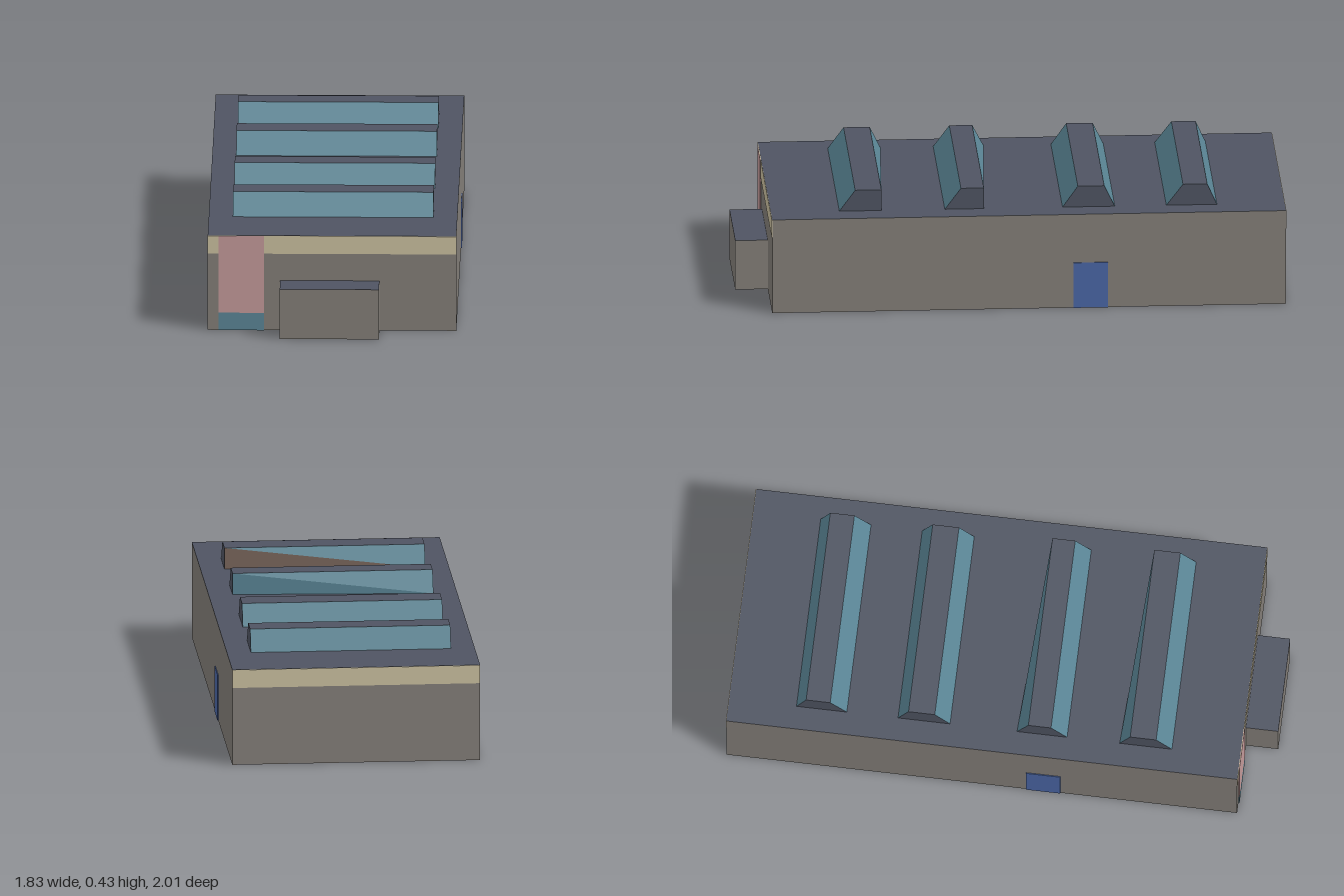
import * as THREE from 'three';

const mat = (name, color, side = THREE.FrontSide) => {
  const m = new THREE.MeshStandardMaterial({ color, side });
  m.name = name;
  return m;
};

export function createModel() {
  const wall = mat('grey wall', 0x837e78);
  const roof = mat('slate roof', 0x4f5462);
  const band = mat('tan band', 0xcabf9f);
  const glass = mat('teal glass', 0x5a8595);
  const doorBlue = mat('blue door', 0x4a66a5);
  const pink = mat('pink panel', 0xc49a9a);
  const brown = mat('brown infill', 0x7a665c);

  const HW = 0.446, HL = 0.923, H = 0.352, TOP = 0.43;
  const model = new THREE.Group();
  model.name = 'warehouse';
  // The whole building stands turned on its plot
  model.rotation.y = -0.655;

  // Box given by its minimum and maximum corners
  function box(name, [x0, y0, z0], [x1, y1, z1], material) {
    const g = new THREE.BoxGeometry(x1 - x0, y1 - y0, z1 - z0);
    const mesh = new THREE.Mesh(g, material);
    mesh.position.set((x0 + x1) / 2, (y0 + y1) / 2, (z0 + z1) / 2);
    mesh.name = name;
    model.add(mesh);
  }

  // Flat faces, each a convex polygon in counter-clockwise order
  function faces(name, polygons, material) {
    const p = [];
    for (const c of polygons)
      for (let i = 1; i < c.length - 1; i++) p.push(...c[0], ...c[i], ...c[i + 1]);
    const g = new THREE.BufferGeometry();
    g.setAttribute('position', new THREE.Float32BufferAttribute(p, 3));
    g.computeVertexNormals();
    const mesh = new THREE.Mesh(g, material);
    mesh.name = name;
    return mesh;
  }

  // Hall and front annex, with slate on top
  const shell = [wall, wall, roof, wall, wall, wall];
  box('hall', [-HW, 0, -HL], [HW, H, HL], shell);
  box('annex', [-0.186, 0, HL], [0.17, 0.185, 1.04], shell);

  // Tan bands below the eaves at both ends
  box('frontBand', [-HW, 0.285, HL], [HW, H - 0.001, HL + 0.002], band);
  box('backBand', [-HW, 0.285, -HL - 0.002], [HW, H - 0.001, -HL], band);

  // Front panel with its low teal base
  box('frontPanel', [-0.408, 0.065, HL], [-0.244, H - 0.001, HL + 0.004], pink);
  box('frontPanelBase', [-0.408, 0, HL], [-0.244, 0.065, HL + 0.004], glass);

  // A door on each long side, mirrored through the centre
  box('leftDoor', [HW, 0, -0.284], [HW + 0.003, 0.17, -0.16], doorBlue);
  box('rightDoor', [-HW - 0.003, 0, 0.16], [-HW, 0.17, 0.284], doorBlue);

  // Roof lights: front foot, top front, top back, back foot at right and left ends
  const w = 0.36;
  const lights = [
    [0.677, 0.62, 0.526, 0.488, 0.526, brown],
    [0.298, 0.24, 0.158, 0.117, 0.158, glass],
    [-0.125, -0.18, -0.275, -0.313, -0.313, glass],
    [-0.498, -0.558, -0.645, -0.68, -0.68, glass],
  ];
  lights.forEach(([f, tf, tb, bR, bL, infill], i) => {
    const group = new THREE.Group();
    group.name = 'roofLight' + (i + 1);
    const foot = [[-w, H, f], [w, H, f], [w, H, bL], [-w, H, bR]];
    const top = [[-w, TOP, tf], [w, TOP, tf], [w, TOP, tb], [-w, TOP, tb]];
    group.add(
      faces('lightGlass', [
        [foot[0], foot[1], top[1], top[0]],
        [foot[3], top[3], top[2]],
      ], glass),
      faces('lightBackInfill', [[foot[2], foot[3], top[2]]], infill),
      faces('lightCap', [
        top,
        [foot[1], foot[2], top[2], top[1]],
        [foot[3], foot[0], top[0], top[3]],
      ], roof),
    );
    model.add(group);
  });

  const root = new THREE.Group();
  root.name = 'building';
  root.add(model);
  return root;
}
